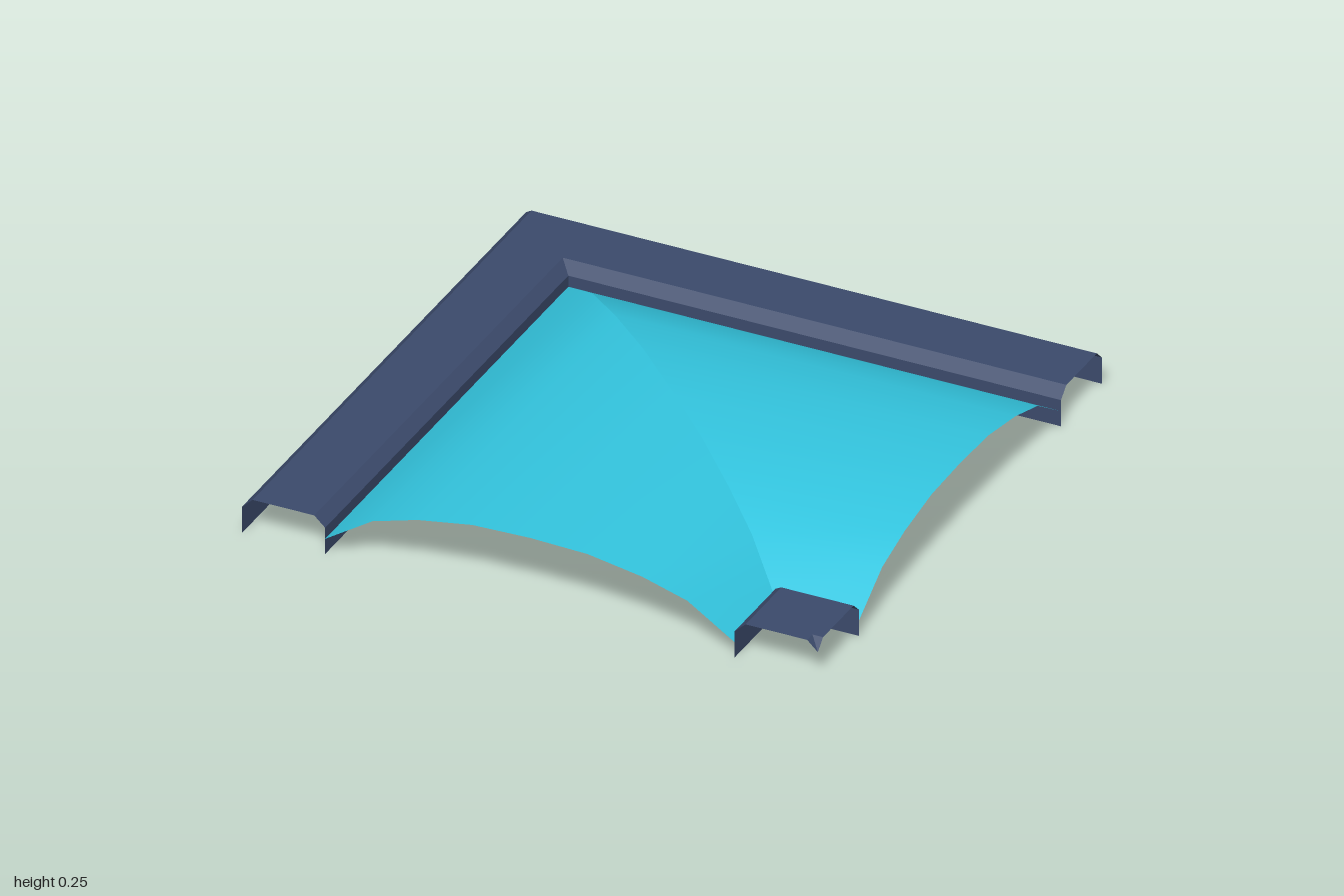
import * as THREE from 'three';

const END = 1; // both arms stop at x = 1 and z = 1

// One arm of a mitred L: profile points [c, y] run from z = END to the 45 degree mitre.
// swap exchanges x and z to give the other arm.
function armGeometry(profile, swap, smooth) {
  const pos = [], index = [];
  const put = (x, y, z) => (swap ? pos.push(z, y, x) : pos.push(x, y, z));
  for (const [c, y] of profile) {
    put(c, y, END);
    put(c, y, c);
  }
  const tri = (a, b, c) => (swap ? index.push(a, c, b) : index.push(a, b, c));
  for (let i = 0; i < profile.length - 1; i++) {
    const a = i * 2;
    if (profile[i + 1][0] < END) {
      tri(a, a + 2, a + 3);
      tri(a, a + 3, a + 1);
    } else {
      tri(a, a + 2, a + 1); // arm tapers to a point at the corner
    }
  }
  let geo = new THREE.BufferGeometry();
  geo.setAttribute('position', new THREE.Float32BufferAttribute(pos, 3));
  geo.setIndex(index);
  if (!smooth) geo = geo.toNonIndexed();
  geo.computeVertexNormals();
  return geo;
}

function corner(name, profile, material, smooth) {
  const group = new THREE.Group();
  group.name = name;
  for (const swap of [false, true]) {
    const mesh = new THREE.Mesh(armGeometry(profile, swap, smooth), material);
    mesh.name = name + (swap ? 'BackArm' : 'SideArm');
    group.add(mesh);
  }
  return group;
}

export function createModel() {
  const frame = new THREE.MeshStandardMaterial({ color: 0x3b4a6b, side: THREE.DoubleSide });
  frame.name = 'slate blue frame';
  const glass = new THREE.MeshStandardMaterial({ color: 0x33c5df, side: THREE.DoubleSide });
  glass.name = 'cyan glazing';

  const model = new THREE.Group();
  model.name = 'vaultedRoofCorner';

  // Outer curb: hollow channel with chamfered shoulders
  model.add(corner('outerCurb',
    [[-1, 0], [-1, 0.095], [-0.963, 0.13], [-0.749, 0.13], [-0.711, 0.095], [-0.711, 0]], frame, false));

  // Inner curb: same channel wrapped round the inside corner
  model.add(corner('innerCurb',
    [[0.711, 0], [0.711, 0.095], [0.749, 0.13], [0.963, 0.13], [1, 0.095]], frame, false));

  // Barrel vault turning the corner, with a mitred hip and valley
  const half = [[0.711, 0.055], [0.547, 0.162], [0.39, 0.208], [0.2, 0.24]];
  const arch = [...half.map(([x, y]) => [-x, y]), [0, 0.246], ...half.slice().reverse()];
  model.add(corner('vault', arch, glass, true));

  return model;
}
